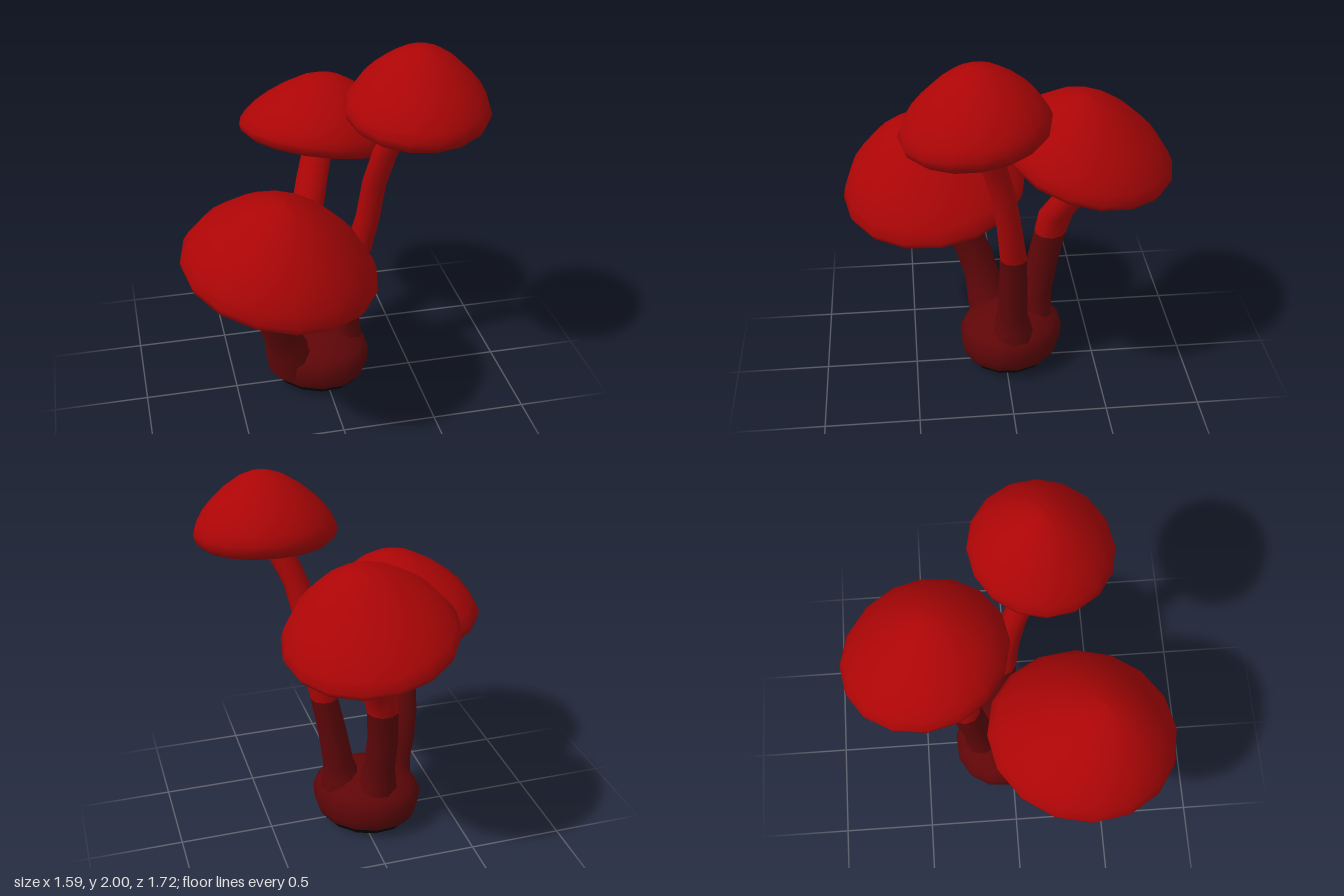
import * as THREE from 'three';

const material = (name, color) => {
  const m = new THREE.MeshStandardMaterial({ color });
  m.name = name;
  return m;
};

// Height bands where the colour changes: soil, lower stem, upper stem
const SOIL_TOP = 0.07, STEM_CHANGE = 0.795;

// Smooth skin over level rings [y, x, z, radius]
function loft(rings, sides) {
  const pos = [], idx = [], geo = new THREE.BufferGeometry();
  for (const [y, x, z, r] of rings) {
    for (let i = 0; i < sides; i++) {
      const a = (i / sides) * Math.PI * 2;
      pos.push(x + r * Math.cos(a), y, z + r * Math.sin(a));
    }
  }
  for (let k = 0; k < rings.length - 1; k++) {
    for (let i = 0; i < sides; i++) {
      const a = k * sides + i, b = k * sides + ((i + 1) % sides);
      idx.push(a, a + sides, b, b, a + sides, b + sides);
    }
  }
  geo.setAttribute('position', new THREE.Float32BufferAttribute(pos, 3));
  geo.setIndex(idx);
  geo.computeVertexNormals();
  return geo;
}

// Loft whose rings are coloured by height band
function bandedLoft(rings, sides) {
  const geo = loft(rings, sides);
  for (let k = 0; k < rings.length - 1; k++) {
    const mid = (rings[k][0] + rings[k + 1][0]) / 2;
    geo.addGroup(k * sides * 6, sides * 6, mid < SOIL_TOP ? 0 : mid < STEM_CHANGE ? 1 : 2);
  }
  return geo;
}

// Cap profile as [radius, height]: underside below 0, dome above, both as fractions
const capProfile = [
  [0, -0.6], [0.5, -0.7], [0.8, -1], [0.89, -1], [0.97, -0.6], [1, 0],
  [0.95, 0.15], [0.85, 0.34], [0.71, 0.53], [0.52, 0.735], [0.31, 0.905], [0.13, 0.985], [0, 1],
];

// Cap of given radius, with its crown shifted sideways
function capGeometry({ radius, height, depth, crown }) {
  return loft(capProfile.map(([r, t]) => {
    const s = Math.max(t, 0);
    return [t * (t > 0 ? height : depth), crown[0] * s, crown[1] * s, r * radius];
  }), 16);
}

// slope: rise of the cap's rim plane along x and z
const mushrooms = [
  {
    name: 'tallMushroom',
    stem: [
      [0.12, 0.08, -0.04, 0.14], [0.24, 0.095, -0.035, 0.128], [0.3, 0.108, -0.033, 0.105],
      [0.38, 0.12, -0.03, 0.085], [0.6, 0.155, -0.03, 0.077], [0.795, 0.195, -0.027, 0.073],
      [1.0, 0.238, -0.002, 0.067], [1.22, 0.26, 0.032, 0.066], [1.42, 0.3, 0.088, 0.067],
      [1.52, 0.342, 0.118, 0.07], [1.68, 0.42, 0.175, 0.07],
    ],
    cap: { radius: 0.365, height: 0.302, depth: 0.07, crown: [0.015, -0.03] },
    centre: [0.43, 1.698, 0.18], slope: [0, -0.115],
  },
  {
    name: 'wideMushroom',
    stem: [
      [0.12, -0.17, 0.03, 0.15], [0.24, -0.195, 0.06, 0.135], [0.3, -0.222, 0.085, 0.115],
      [0.4, -0.262, 0.105, 0.102], [0.55, -0.29, 0.15, 0.102], [0.67, -0.302, 0.205, 0.103],
      [0.795, -0.3, 0.27, 0.103], [0.9, -0.285, 0.318, 0.1], [1.0, -0.275, 0.358, 0.097],
    ],
    cap: { radius: 0.501, height: 0.4, depth: 0.065, crown: [-0.05, 0.05] },
    centre: [-0.299, 0.985, 0.356], slope: [-0.165, -0.115],
  },
  {
    name: 'backMushroom',
    stem: [
      [0.12, -0.04, -0.12, 0.14], [0.24, -0.055, -0.15, 0.125], [0.3, -0.065, -0.165, 0.105],
      [0.4, -0.068, -0.18, 0.087], [0.6, -0.075, -0.215, 0.086], [0.795, -0.06, -0.253, 0.086],
      [0.92, -0.035, -0.278, 0.092], [1.08, 0.015, -0.372, 0.09], [1.22, 0.065, -0.452, 0.086],
      [1.34, 0.105, -0.495, 0.082],
    ],
    cap: { radius: 0.44, height: 0.328, depth: 0.058, crown: [0, 0.075] },
    centre: [0.064, 1.333, -0.43], slope: [-0.165, 0.175],
  },
];

// Bulging root clump standing on a flat sole
const baseRings = [
  [0, 0], [0, 0.19], [0.03, 0.23], [0.07, 0.262], [0.12, 0.28], [0.2, 0.284],
  [0.24, 0.255], [0.27, 0.22], [0.3, 0.175], [0.32, 0.12], [0.33, 0],
].map(([y, r]) => [y, 0, 0, r]);

export function createModel() {
  const group = new THREE.Group();
  group.name = 'mushroomCluster';
  const red = material('capRed', 0xac0506);
  const bands = [material('soilBlack', 0x050505), material('stemMaroon', 0x5f0608), red];

  // Slightly oval base, longest along the x = z diagonal
  const base = new THREE.Mesh(bandedLoft(baseRings, 14), bands);
  base.name = 'base';
  base.position.set(-0.038, 0, -0.038);
  base.rotation.y = -Math.PI / 4;
  base.scale.set(1.06, 1, 0.96);
  group.add(base);

  const up = new THREE.Vector3(0, 1, 0);
  for (const { name, stem, cap, centre, slope } of mushrooms) {
    const mushroom = new THREE.Group();
    mushroom.name = name;

    const stemMesh = new THREE.Mesh(bandedLoft(stem, 10), bands);
    stemMesh.name = 'stem';

    const capMesh = new THREE.Mesh(capGeometry(cap), red);
    capMesh.name = 'cap';
    capMesh.position.set(...centre);
    capMesh.quaternion.setFromUnitVectors(up, new THREE.Vector3(-slope[0], 1, -slope[1]).normalize());

    mushroom.add(stemMesh, capMesh);
    group.add(mushroom);
  }
  return group;
}
